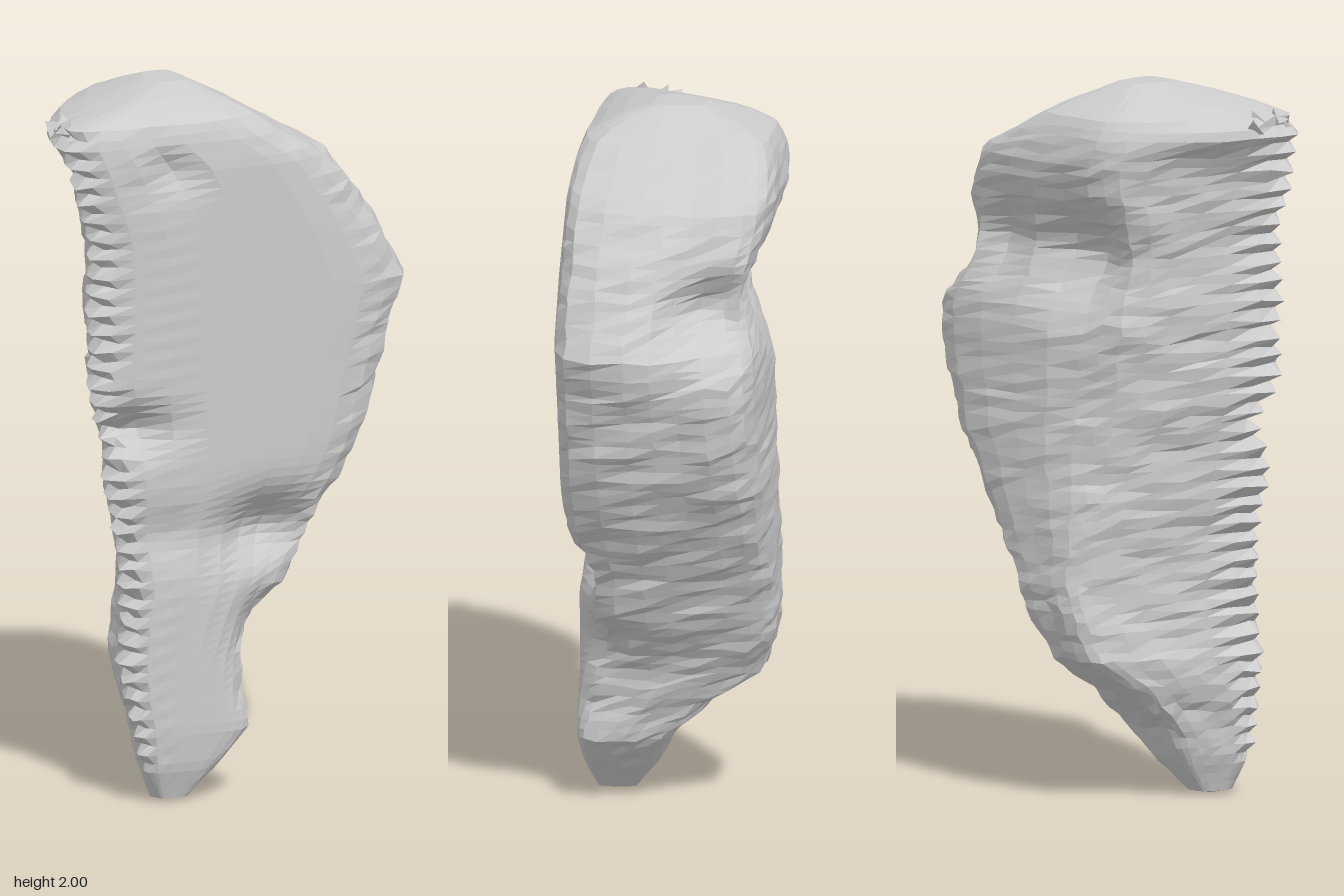
import * as THREE from 'three';

// Cross-sections by height: y, front-left x, back-left x, back-right x, right x, front z, back z
const SECTIONS = [
  [0.01, -0.24, -0.23, -0.16, -0.15, 0.25, 0.14],
  [0.10, -0.28, -0.24, -0.09, -0.06, 0.28, 0.07],
  [0.20, -0.30, -0.25, -0.01, 0.04, 0.29, 0.02],
  [0.30, -0.32, -0.25, 0.00, 0.03, 0.29, -0.09],
  [0.40, -0.33, -0.22, 0.02, 0.05, 0.29, -0.23],
  [0.50, -0.33, -0.18, 0.06, 0.11, 0.29, -0.27],
  [0.60, -0.32, -0.17, 0.10, 0.18, 0.29, -0.285],
  [0.80, -0.35, -0.20, 0.21, 0.28, 0.29, -0.29],
  [1.00, -0.38, -0.23, 0.34, 0.40, 0.29, -0.29],
  [1.20, -0.42, -0.26, 0.43, 0.46, 0.29, -0.28],
  [1.43, -0.42, -0.28, 0.45, 0.53, 0.29, -0.28],
  [1.60, -0.42, -0.29, 0.38, 0.44, 0.29, -0.285],
  [1.80, -0.48, -0.30, 0.26, 0.29, 0.29, -0.29],
  [1.88, -0.50, -0.31, 0.11, 0.14, 0.28, -0.27],
  [1.93, -0.47, -0.30, 0.03, 0.06, 0.26, -0.24],
  [1.97, -0.30, -0.24, -0.04, -0.02, 0.18, -0.14],
  [2.00, -0.18, -0.17, -0.09, -0.08, 0.08, -0.06],
];

// Hollows and bumps: centre, radii, push
const DENTS = [
  { at: [0.08, 0.74, 0.29], r: [0.14, 0.10, 0.16], push: [0, 0, -0.12] },    // front crease
  { at: [0.09, 0.45, 0.29], r: [0.10, 0.16, 0.16], push: [-0.02, 0, -0.09] },
  { at: [-0.24, 0.76, 0.29], r: [0.10, 0.08, 0.1], push: [0, 0, -0.03] },
  { at: [-0.34, 1.06, 0.29], r: [0.10, 0.06, 0.1], push: [0.02, 0, -0.09] }, // front-left nick
  { at: [-0.23, 1.78, 0.29], r: [0.06, 0.06, 0.08], push: [0, 0, -0.04] },
  { at: [-0.13, 1.53, -0.25], r: [0.17, 0.14, 0.2], push: [0.04, 0, 0.15] }, // back hollow
  { at: [0.18, 1.55, -0.29], r: [0.12, 0.12, 0.16], push: [0, 0, 0.09] },    // back channel
  { at: [-0.24, 1.05, -0.27], r: [0.16, 0.36, 0.16], push: [0.03, 0, 0.05] },// worn back-left edge
  { at: [0.45, 1.54, -0.19], r: [0.13, 0.12, 0.14], push: [-0.16, 0, 0.05] },// right-hand notch
];

function sampleSection(y) {
  let i = 0;
  while (i < SECTIONS.length - 2 && SECTIONS[i + 1][0] < y) i++;
  const a = SECTIONS[i], b = SECTIONS[i + 1];
  const t = (y - a[0]) / (b[0] - a[0]);
  return a.map((v, k) => v + (b[k] - v) * t);
}

// Closed outline, front left round to back left
function outline(y, tooth) {
  const [, xl, bl, br, xr, zf, zb] = sampleSection(y);
  const w = xr - xl, wb = br - bl, d = zf - zb;
  const lip = 0.05 * Math.exp(-(((y - 1.88) / 0.06) ** 2)); // overhanging upper-left lip
  const left = (t) => xl + (bl - xl) * t - lip;
  const pts = [
    [xl - tooth, zf - 0.09 * d],
    [xl + 0.10 * w, zf - 0.008 * d],
    [xl + 0.35 * w, zf],
    [xl + 0.62 * w, zf],
    [xl + 0.82 * w, zf - 0.015 * d],
    [xr - 0.04 * w, zf - 0.1 * d],
    [xr, zf - 0.4 * d],
    [xr * 0.6 + br * 0.4, zb + 0.35 * d],
    [br, zb + 0.1 * d],
    [br - 0.15 * wb, zb + 0.01 * d],
    [(bl + br) / 2, zb],
    [bl + 0.15 * wb, zb + 0.01 * d],
    [bl, zb + 0.09 * d],
    [left(0.68) - 0.01, zb + 0.34 * d],
    [left(0.3) - 0.015, zb + 0.65 * d],
  ].map(([x, z]) => new THREE.Vector3(x, y, z));
  return new THREE.CatmullRomCurve3(pts, true, 'centripetal');
}

function createRock() {
  const rows = 76, cols = 30;
  let seed = 7;
  const rand = () => ((seed = (seed * 16807) % 2147483647) / 2147483647) - 0.5;
  const pos = [], index = [];
  for (let i = 0; i <= rows; i++) {
    const u = i / rows;
    const y = 0.01 + 1.99 * u;
    // Sawtooth serration along the front-left edge
    const tooth = y > 0.1 && y < 1.94 ? [-0.015, 0.022][i % 2] : 0;
    const curve = outline(y, tooth);
    const rough = Math.min(1, 8 * u, 8 * (1 - u));
    for (let j = 0; j < cols; j++) {
      const p = curve.getPoint(j / cols);
      const q = p.clone();
      for (const { at, r, push } of DENTS) {
        const e = at.reduce((s, c, k) => s + ((p.getComponent(k) - c) / r[k]) ** 2, 0);
        q.addScaledVector(new THREE.Vector3(...push), Math.exp(-e));
      }
      // Broad lumps and fine roughness, left off the flat front face
      const n = p.z > 0.275 ? 0 : rough;
      const lump = 0.008 * n * Math.sin(31 * y + 9 * p.z) * Math.cos(14 * p.z + 7 * y);
      q.x += lump * Math.sign(p.x + 0.05) + rand() * 0.01 * n;
      q.y += rand() * 0.014 * n;
      q.z += rand() * 0.008 * n;
      pos.push(q.x, q.y, q.z);
    }
  }
  for (let i = 0; i < rows; i++) {
    for (let j = 0; j < cols; j++) {
      const k = (j + 1) % cols;
      const a = i * cols + j, b = i * cols + k, c = b + cols, d = a + cols;
      index.push(a, b, c, a, c, d);
    }
  }
  // End caps
  const foot = pos.length / 3, crown = foot + 1, top = rows * cols;
  pos.push(-0.2, 0, 0.195, -0.13, 2, 0.01);
  for (let j = 0; j < cols; j++) {
    const k = (j + 1) % cols;
    index.push(foot, k, j, crown, top + j, top + k);
  }
  const geo = new THREE.BufferGeometry();
  geo.setAttribute('position', new THREE.Float32BufferAttribute(pos, 3));
  geo.setIndex(index);
  geo.computeVertexNormals();
  return geo;
}

export function createModel() {
  const group = new THREE.Group();
  group.name = 'rockFragment';
  const material = new THREE.MeshStandardMaterial({ color: 0xcccccc, flatShading: true });
  const rock = new THREE.Mesh(createRock(), material);
  rock.name = 'rockBody';
  group.add(rock);

  // Small jagged shards rooted along the upper-left lip
  for (let i = 0; i < 5; i++) {
    const shard = new THREE.Mesh(new THREE.TetrahedronGeometry(0.035), material);
    shard.name = 'tipShard';
    shard.position.set(-0.49 + 0.018 * (i % 3), 1.9 + 0.012 * (i % 2), 0.09 + 0.03 * i);
    shard.rotation.set(i * 1.3, i * 0.9, i * 0.5);
    group.add(shard);
  }
  return group;
}
